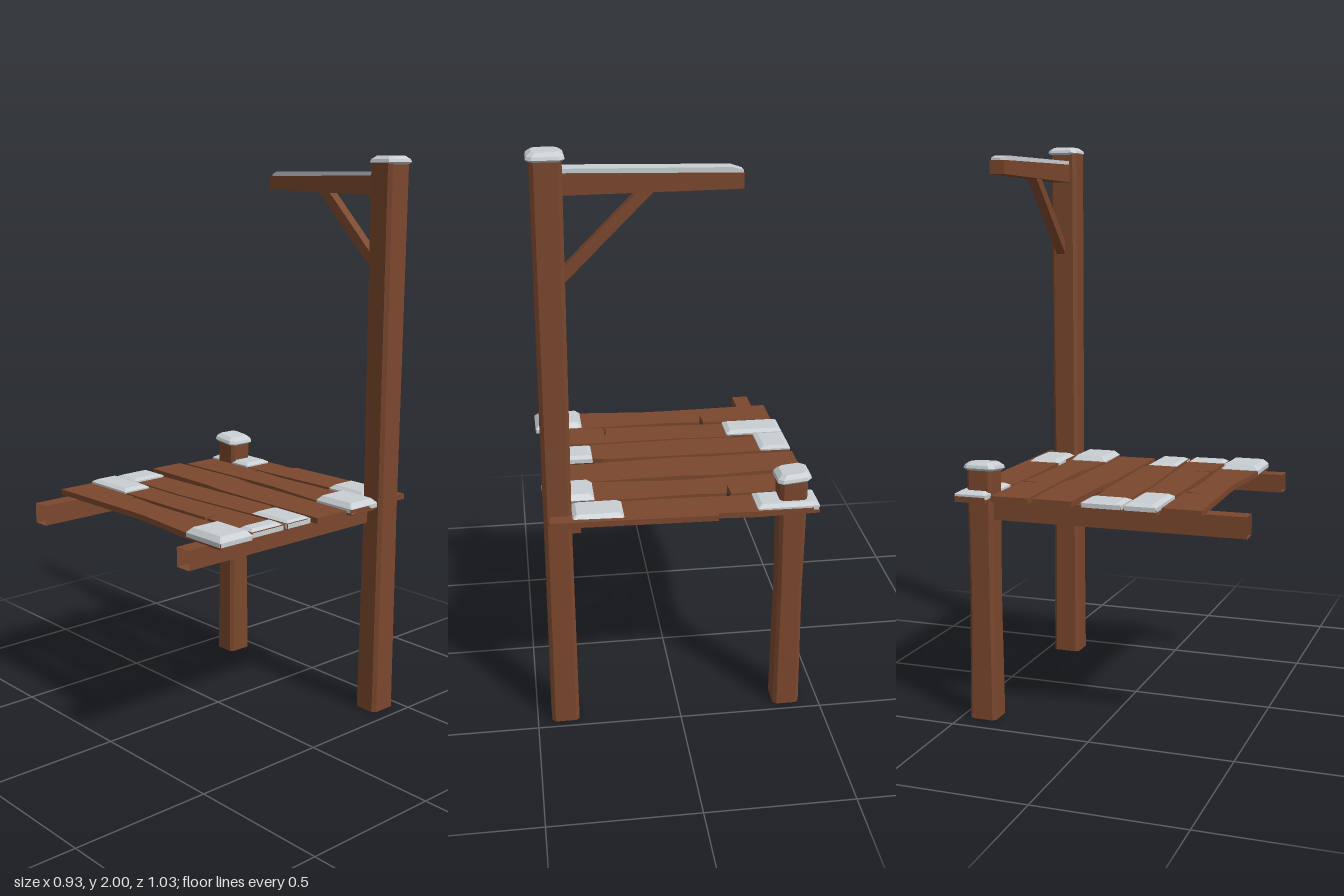
import * as THREE from 'three';

const wood = new THREE.MeshStandardMaterial({ color: 0x7a472d });
wood.name = 'brownWood';
wood.side = THREE.DoubleSide;
const snow = new THREE.MeshStandardMaterial({ color: 0xc8ced2 });
snow.name = 'paleSnow';

// Skin a list of rings (arrays of [x, y, z]) with flat faces, optionally closing the ends
function loft(rings, capStart = true, capEnd = true) {
  const out = [];
  const tri = (a, b, c) => out.push(...a, ...b, ...c);
  const n = rings[0].length;
  for (let r = 0; r + 1 < rings.length; r++) {
    const a = rings[r], b = rings[r + 1];
    for (let i = 0; i < n; i++) {
      const j = (i + 1) % n;
      tri(a[i], a[j], b[j]);
      tri(a[i], b[j], b[i]);
    }
  }
  const first = rings[0], last = rings[rings.length - 1];
  for (let i = 1; i + 1 < n; i++) {
    if (capStart) tri(first[0], first[i + 1], first[i]);
    if (capEnd) tri(last[0], last[i], last[i + 1]);
  }
  const g = new THREE.BufferGeometry();
  g.setAttribute('position', new THREE.Float32BufferAttribute(out, 3));
  g.computeVertexNormals();
  return g;
}

// Horizontal rectangle with cut corners
function ring(x0, x1, z0, z1, y, c, tilt = 0) {
  const mid = (x0 + x1) / 2;
  return [[x1 - c, z1], [x1, z1 - c], [x1, z0 + c], [x1 - c, z0],
    [x0 + c, z0], [x0, z0 + c], [x0, z1 - c], [x0 + c, z1]]
    .map(([x, z]) => [x, y - tilt * (x - mid), z]);
}

// Rectangle standing across the z axis or the x axis
const ringZ = (x0, x1, y0, y1, z) => [[x0, y0, z], [x1, y0, z], [x1, y1, z], [x0, y1, z]];
const ringX = (x, y0, y1, z0, z1) => [[x, y0, z0], [x, y1, z0], [x, y1, z1], [x, y0, z1]];

// Floor plank: outline of [x, z] points, given a thickness and a gentle slope
function plankGeometry(back, front, slope) {
  const pts = [...front, ...[...back].reverse()].map(([x, z]) => new THREE.Vector2(x, -z));
  const g = new THREE.ExtrudeGeometry(new THREE.Shape(pts), { depth: 0.02, bevelEnabled: false });
  g.rotateX(-Math.PI / 2);
  const p = g.attributes.position;
  for (let i = 0; i < p.count; i++) {
    p.setY(i, p.getY(i) + 0.781 + slope * p.getX(i));
  }
  g.computeVertexNormals();
  return g;
}

export function createModel() {
  const model = new THREE.Group();
  model.name = 'snowyDock';
  const add = (name, geometry, material) => {
    const m = new THREE.Mesh(geometry, material);
    m.name = name;
    model.add(m);
  };

  // Posts, open underneath, with slightly wavering sides
  add('shortPost', loft([
    ring(-0.43, -0.337, -0.47, -0.37, 0, 0.012),
    ring(-0.426, -0.34, -0.464, -0.374, 0.45, 0.012),
    ring(-0.43, -0.335, -0.467, -0.372, 0.885, 0.012),
  ], false), wood);
  add('tallPost', loft([
    ring(0.355, 0.451, -0.472, -0.366, 0, 0.012),
    ring(0.361, 0.452, -0.468, -0.369, 0.75, 0.012),
    ring(0.358, 0.455, -0.472, -0.367, 1.98, 0.012),
  ], false), wood);

  // Snow caps on the posts
  const cap = (name, x, z, y, h, tilt) => {
    const layer = (r, dy, c) => ring(x - r, x + r, z - r, z + r, y + dy * h, c, tilt);
    add(name, loft([layer(0.05, 0, 0.014), layer(0.058, 0.25, 0.016),
      layer(0.055, 0.6, 0.016), layer(0.04, 1, 0.012)]), snow);
  };
  cap('shortPostSnow', -0.383, -0.418, 0.876, 0.03, 0.1);
  cap('tallPostSnow', 0.407, -0.422, 1.972, 0.028, 0);

  // Floor beams, open at the front end
  add('leftBeam', loft([ringZ(0.33, 0.39, 0.715, 0.782, -0.42), ringZ(0.33, 0.39, 0.715, 0.782, 0.465)], true, false), wood);
  add('rightBeam', loft([ringZ(-0.41, -0.35, 0.71, 0.782, -0.42), ringZ(-0.41, -0.35, 0.71, 0.782, 0.512)], true, false), wood);

  // Floor planks; narrow notches are the cracks
  const splitBack = [[-0.45, -0.365], [-0.187, -0.367], [-0.184, -0.3], [-0.172, -0.364], [-0.05, -0.355], [0.28, -0.365], [0.45, -0.345]];
  const splitFront = [[-0.45, -0.23], [-0.05, -0.241], [0.03, -0.241], [0.28, -0.219], [0.45, -0.219]];
  const shift = (pts, dz) => pts.map(([x, z]) => [x, z + dz]);
  const planks = [
    [[[-0.465, -0.493], [-0.25, -0.503], [-0.122, -0.498], [-0.12, -0.515], [0.435, -0.514]],
      [[-0.465, -0.38], [0, -0.377], [0.19, -0.379], [0.194, -0.45], [0.203, -0.379], [0.435, -0.367]], 0.012],
    [splitBack, splitFront, 0],
    [[[-0.465, -0.205], [-0.15, -0.222], [-0.05, -0.21], [0.435, -0.211]],
      [[-0.465, -0.069], [-0.15, -0.069], [-0.05, -0.06], [0.435, -0.069]], -0.008],
    [[[-0.465, -0.036], [0.22, -0.046], [0.26, -0.031], [0.435, -0.025]],
      [[-0.465, 0.105], [-0.3, 0.09], [-0.1, 0.094], [0.22, 0.08], [0.435, 0.075]], 0.01],
    [[[-0.465, 0.113], [-0.25, 0.1], [-0.1, 0.104], [0.2, 0.094], [0.435, 0.086]],
      [[-0.465, 0.225], [-0.25, 0.22], [0.19, 0.225], [0.194, 0.15], [0.203, 0.226], [0.435, 0.236]], 0.012],
    [shift(splitBack, 0.603), shift(splitFront, 0.603), 0],
  ];
  planks.forEach(([back, front, slope], i) => add('plank' + (i + 1), plankGeometry(back, front, slope), wood));

  // Snow patches on the plank ends: x range, z range, top height
  [
    [-0.465, -0.255, -0.494, -0.377, 0.812],
    [0.19, 0.362, -0.497, -0.376, 0.816],
    [0.277, 0.45, -0.357, -0.219, 0.82],
    [-0.466, -0.354, -0.036, 0.106, 0.81],
    [0.258, 0.436, -0.038, 0.076, 0.812],
    [-0.466, -0.256, 0.112, 0.226, 0.812],
    [0.363, 0.436, 0.09, 0.236, 0.815],
    [0.277, 0.451, 0.243, 0.385, 0.82],
  ].forEach(([x0, x1, z0, z1, top], i) => {
    const e = 0.016;
    add('plankSnow' + (i + 1), loft([
      ring(x0, x1, z0, z1, 0.788, 0.004),
      ring(x0, x1, z0, z1, 0.803, 0.004),
      ring(x0 + e, x1 - e, z0 + e, z1 - e, top, 0.004),
    ]), snow);
  });

  // Hanging arm, its snow and its brace
  add('arm', loft([
    ringX(-0.185, 1.877, 1.925, -0.473, -0.418),
    ringX(0.37, 1.868, 1.935, -0.455, -0.39),
  ]), wood);
  add('armSnow', loft([
    ringX(-0.183, 1.915, 1.933, -0.468, -0.432),
    ringX(-0.15, 1.918, 1.942, -0.468, -0.419),
    ringX(0.37, 1.93, 1.948, -0.452, -0.391),
  ]), snow);
  const brace = new THREE.Shape([[0.08, 1.875], [0.365, 1.59], [0.365, 1.64], [0.13, 1.875]]
    .map(([x, y]) => new THREE.Vector2(x, y)));
  const braceGeometry = new THREE.ExtrudeGeometry(brace, { depth: 0.036, bevelEnabled: false });
  braceGeometry.translate(0, 0, -0.447);
  add('armBrace', braceGeometry, wood);

  return model;
}
